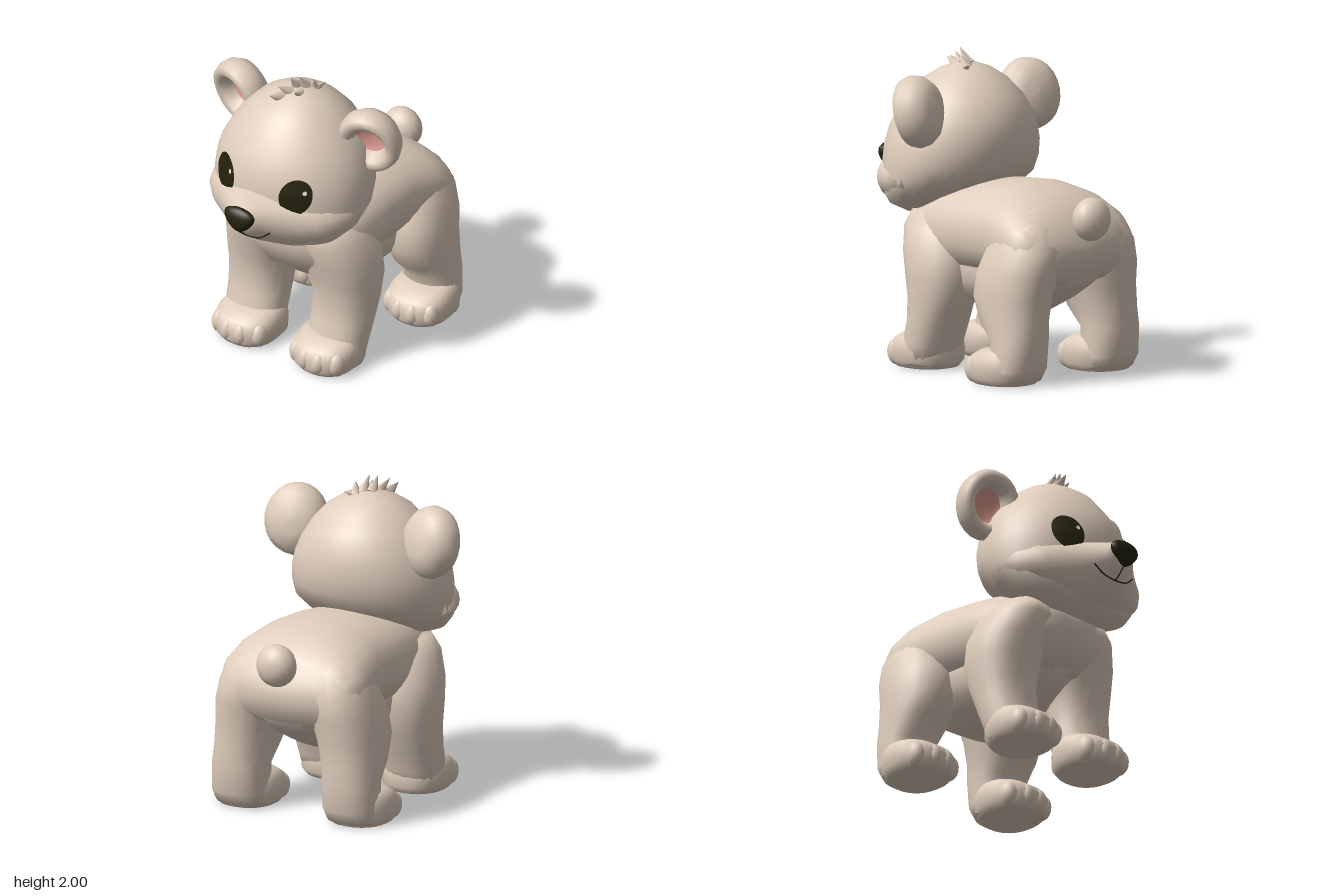
import * as THREE from 'three';

const mat = (name, color) => Object.assign(new THREE.MeshStandardMaterial({ color }), { name });

// Skull slices from chin to crown: [y, centre x, half width, back z, front z]
const SKULL = [
  [0.935, 0, 0.1, 0.42, 0.55], [0.96, 0, 0.27, 0.33, 0.64], [1.02, 0, 0.42, 0.2, 0.7],
  [1.1, 0, 0.5, 0.05, 0.73], [1.2, 0, 0.53, -0.09, 0.74], [1.3, 0, 0.535, -0.14, 0.75],
  [1.4, 0, 0.525, -0.16, 0.745], [1.5, 0, 0.495, -0.16, 0.725], [1.6, 0, 0.445, -0.14, 0.68],
  [1.7, 0, 0.375, -0.09, 0.61], [1.8, 0, 0.28, 0, 0.53], [1.87, 0, 0.17, 0.1, 0.42],
  [1.905, 0, 0.06, 0.2, 0.31],
];

// Front-to-back slices: [z, centre x, half width, bottom y, top y]
const MUZZLE = [
  [0.915, 0, 0.075, 1.175, 1.31], [0.87, 0, 0.12, 1.125, 1.335], [0.82, 0, 0.17, 1.08, 1.345],
  [0.76, 0, 0.245, 1.03, 1.36], [0.7, 0, 0.325, 0.995, 1.37], [0.64, 0, 0.41, 0.975, 1.38],
  [0.57, 0, 0.475, 0.965, 1.4], [0.46, 0, 0.52, 0.955, 1.42], [0.3, 0, 0.53, 0.99, 1.42],
];
const TORSO = [
  [0.5, 0, 0.12, 0.82, 0.98], [0.45, 0, 0.28, 0.7, 1.05], [0.35, 0, 0.38, 0.6, 1.12],
  [0.15, 0, 0.44, 0.57, 1.18], [-0.1, 0, 0.46, 0.58, 1.21], [-0.35, 0, 0.47, 0.58, 1.225],
  [-0.55, 0, 0.51, 0.56, 1.185], [-0.67, 0, 0.51, 0.58, 1.12], [-0.75, 0, 0.47, 0.61, 1.05],
  [-0.81, 0, 0.37, 0.66, 0.96], [-0.845, 0, 0.17, 0.76, 0.88],
];
const BELLY = [
  [0.38, 0, 0.15, 0.62, 0.9], [0.25, 0, 0.27, 0.52, 0.9], [0.1, 0, 0.34, 0.42, 0.94],
  [-0.05, 0, 0.37, 0.38, 0.98], [-0.38, 0, 0.37, 0.38, 0.98], [-0.52, 0, 0.34, 0.45, 0.94],
  [-0.7, 0, 0.27, 0.56, 0.9], [-0.79, 0, 0.22, 0.63, 0.85],
];

// Bottom-to-top slices: [y, centre x, half width, back z, front z]
const FRONT_LEG = [
  [0.02, 0.31, 0.19, 0.13, 0.45], [0.15, 0.315, 0.2, 0.09, 0.43], [0.3, 0.32, 0.205, 0.03, 0.385],
  [0.45, 0.325, 0.21, -0.03, 0.375], [0.6, 0.315, 0.23, -0.07, 0.4], [0.75, 0.285, 0.25, -0.07, 0.44],
  [0.9, 0.25, 0.225, -0.02, 0.48], [1.0, 0.21, 0.18, 0.08, 0.46],
];
const HIND_LEG = [
  [0.02, 0.41, 0.18, -0.72, -0.42], [0.1, 0.41, 0.19, -0.765, -0.45], [0.28, 0.405, 0.185, -0.785, -0.44],
  [0.4, 0.395, 0.195, -0.785, -0.33], [0.55, 0.375, 0.215, -0.79, -0.26], [0.7, 0.35, 0.225, -0.82, -0.27],
  [0.85, 0.31, 0.22, -0.83, -0.32], [1.0, 0.26, 0.2, -0.76, -0.4], [1.1, 0.2, 0.14, -0.66, -0.45],
];
const FOOT = [
  [0, 0.3, 0.18, 0.13, 0.52], [0.04, 0.3, 0.215, 0.1, 0.55], [0.12, 0.3, 0.222, 0.1, 0.553],
  [0.17, 0.3, 0.21, 0.11, 0.525], [0.21, 0.3, 0.185, 0.13, 0.46], [0.23, 0.3, 0.14, 0.18, 0.38],
];

// Skin over superellipse slices stacked upward (axis y) or front to back (axis z)
function loft(rows, axis, power = 1, n = 24) {
  const pos = [], idx = [];
  const put = (a, t, b) => (axis === 'y' ? pos.push(a, t, b) : pos.push(a, b, t));
  const round = (v) => Math.sign(v) * Math.abs(v) ** power;
  for (const [t, c, w, lo, hi] of rows) {
    for (let j = 0; j < n; j++) {
      const a = (j / n) * Math.PI * 2;
      put(c + w * round(Math.cos(a)), t, (lo + hi) / 2 + ((hi - lo) / 2) * round(Math.sin(a)));
    }
  }
  const last = rows.length - 1, first = rows.length * n;
  for (const [t, c, , lo, hi] of [rows[0], rows[last]]) put(c, t, (lo + hi) / 2);
  for (let j = 0; j < n; j++) {
    const k = (j + 1) % n;
    idx.push(first, j, k, first + 1, last * n + k, last * n + j);
    for (let i = 0; i < last; i++) {
      const p = i * n + j, q = i * n + k;
      idx.push(p, p + n, q, q, p + n, q + n);
    }
  }
  const g = new THREE.BufferGeometry();
  g.setAttribute('position', new THREE.Float32BufferAttribute(pos, 3));
  g.setIndex(idx);
  g.computeVertexNormals();
  return g;
}

// Depth of the face surface at (x, y)
function faceZ(x, y) {
  const i = Math.max(0, SKULL.findIndex((r) => r[0] > y) - 1);
  const f = (y - SKULL[i][0]) / (SKULL[i + 1][0] - SKULL[i][0]);
  const [, , w, b, d] = SKULL[i].map((v, k) => v + (SKULL[i + 1][k] - v) * f);
  return (b + d) / 2 + ((d - b) / 2) * Math.sqrt(Math.max(0, 1 - (x / w) ** 2));
}

// Thin oval that hugs the face
function facePlate(cx, cy, rx, ry, tilt, lift) {
  const g = new THREE.RingGeometry(0.001, 1, 28, 5).scale(rx, ry, 1).rotateZ(tilt).translate(cx, cy, 0);
  const p = g.attributes.position;
  for (let i = 0; i < p.count; i++) p.setZ(i, faceZ(p.getX(i), p.getY(i)) + lift);
  g.computeVertexNormals();
  return g;
}

const lathe = (pts) =>
  new THREE.LatheGeometry(pts.map(([r, y]) => new THREE.Vector2(r, y)), 24).rotateX(Math.PI / 2);

export function createModel() {
  const model = new THREE.Group();
  model.name = 'bearCub';
  const fur = mat('fur', 0xdfcdbc), dark = mat('darkBrown', 0x24220d);
  const pink = mat('innerEarPink', 0xe3a094), white = mat('eyeGlint', 0xf4f2ee);
  pink.side = THREE.DoubleSide;

  const add = (name, geometry, material = fur, parent = model) => {
    const m = new THREE.Mesh(geometry, material);
    m.name = name;
    parent.add(m);
    return m;
  };
  const ball = (name, x, y, z, rx, ry, rz) =>
    add(name, new THREE.SphereGeometry(1, 18, 12).scale(rx, ry, rz).translate(x, y, z));

  add('torso', loft(TORSO, 'z', 0.9, 32));
  add('belly', loft(BELLY, 'z', 0.9));
  add('head', loft(SKULL, 'y', 1, 36));
  add('muzzleAndCheeks', loft(MUZZLE, 'z', 1, 32));
  ball('tail', 0, 1.03, -0.85, 0.135, 0.138, 0.108);

  // Nose, wider at the top
  const nose = new THREE.SphereGeometry(1, 20, 14);
  const np = nose.attributes.position;
  for (let i = 0; i < np.count; i++) np.setX(i, np.getX(i) * (1 + 0.4 * np.getY(i)));
  nose.scale(0.105, 0.085, 0.05).translate(0, 1.247, 0.912);
  nose.computeVertexNormals();
  add('nose', nose, dark);

  // Mouth line and the crease below the nose
  const line = (name, pts) => add(name, new THREE.TubeGeometry(
    new THREE.CatmullRomCurve3(pts.map((p) => new THREE.Vector3(...p))), 20, 0.005, 5), dark);
  line('mouth', [[-0.17, 1.16, 0.815], [-0.1, 1.106, 0.828], [0, 1.09, 0.833], [0.1, 1.106, 0.828], [0.17, 1.16, 0.815]]);
  line('lipCrease', [[0, 1.175, 0.914], [0, 1.125, 0.872], [0, 1.09, 0.833]]);

  for (const s of [-1, 1]) {
    const side = s > 0 ? 'left' : 'right';

    // Eyes
    add(side + 'Eye', facePlate(s * 0.268, 1.387, 0.095, 0.12, s * -0.12, 0.009), dark);
    add(side + 'EyeGlint', facePlate(s * 0.268 + 0.055, 1.425, 0.012, 0.014, 0, 0.015), white);

    // Cupped ears, turned slightly outward and tipped forward
    const ear = new THREE.Group();
    ear.name = side + 'Ear';
    add('earShell', lathe([[0, -0.12], [0.09, -0.114], [0.16, -0.085], [0.205, -0.025], [0.215, 0.04],
      [0.198, 0.09], [0.165, 0.108], [0.13, 0.09], [0.108, 0.04], [0.102, 0]]), fur, ear);
    add('innerEar', lathe([[0.104, 0.01], [0.07, -0.012], [0, -0.02]]), pink, ear);
    ear.scale.set(0.97, 1.08, 1);
    ear.position.set(s * 0.492, 1.66, 0.17);
    ear.rotation.set(0.24, s * 0.26, 0);
    model.add(ear);

    // Legs, feet and toes; the front pair stands a little to one side
    for (const [label, rows, dx, dz, shift] of [['Front', FRONT_LEG, 0, 0, -0.02], ['Hind', HIND_LEG, 0.115, -0.82, 0]]) {
      const footX = s * (0.3 + dx) + shift * 1.2;
      add(side + label + 'Leg', loft(rows.map(([y, c, ...r]) => [y, c * s + shift, ...r]), 'y', 0.9));
      add(side + label + 'Foot', loft(FOOT.map(([y, , w, b, f]) => [y, footX, w, b + dz, f + dz]), 'y', 0.85));
      for (let t = 0; t < 4; t++) {
        const o = t - 1.5;
        ball(side + label + 'Toe', footX + o * 0.1, 0.09, 0.5 + dz - o * o * 0.024, 0.055, 0.085, 0.07);
      }
    }
  }

  // Hair tuft: spikes swept forward, from base to tip
  const spikes = [
    [-0.06, 1.865, 0.38, -0.08, 1.915, 0.48], [-0.02, 1.87, 0.31, -0.06, 1.955, 0.41],
    [0.03, 1.88, 0.3, 0.05, 1.935, 0.38], [-0.02, 1.89, 0.25, -0.02, 1.99, 0.33],
    [0.03, 1.885, 0.22, 0.02, 1.995, 0.29], [0.06, 1.88, 0.19, 0.08, 1.96, 0.22],
    [0.06, 1.87, 0.21, 0.11, 1.91, 0.13],
  ];
  for (const [bx, by, bz, tx, ty, tz] of spikes) {
    const base = new THREE.Vector3(bx, by, bz), dir = new THREE.Vector3(tx, ty, tz).sub(base);
    const h = dir.length();
    const hair = add('hairTuft', new THREE.ConeGeometry(0.042, h, 6).translate(0, h / 2, 0));
    hair.position.copy(base);
    hair.quaternion.setFromUnitVectors(new THREE.Vector3(0, 1, 0), dir.normalize());
  }
  return model;
}
